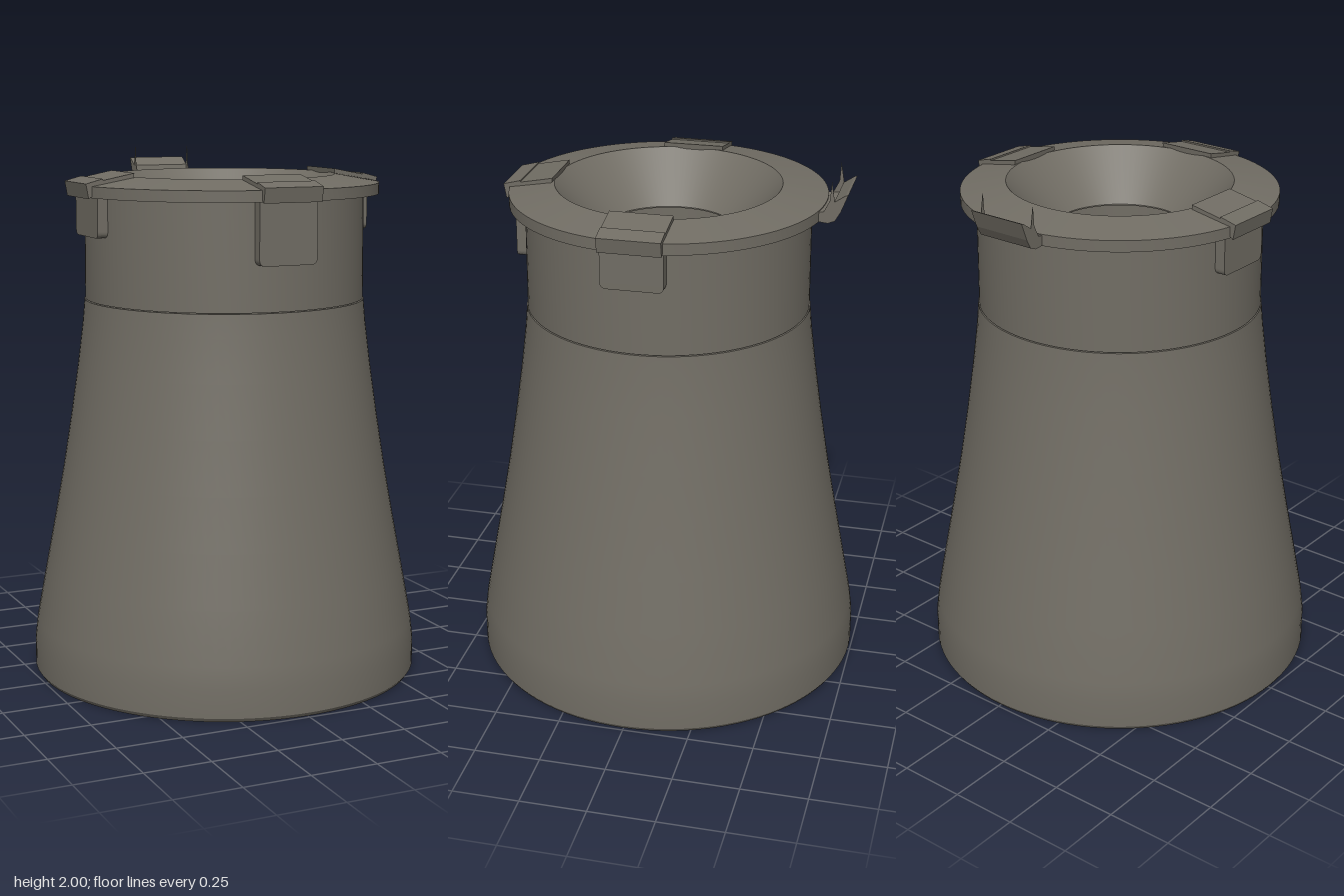
import * as THREE from 'three';
import { toCreasedNormals } from 'three/addons/utils/BufferGeometryUtils.js';

const HALF = 0.115; // half width of the clips

export function createModel() {
  const model = new THREE.Group();
  model.name = 'nozzle';
  const grey = new THREE.MeshStandardMaterial({ color: 0x716d64 });
  grey.name = 'warm grey';

  const add = (parent, name, geometry) => {
    const mesh = new THREE.Mesh(geometry, grey);
    mesh.name = name;
    parent.add(mesh);
    return mesh;
  };
  const toPoints = (list) => list.map(([a, b]) => new THREE.Vector2(a, b));
  const turned = (list) => toCreasedNormals(new THREE.LatheGeometry(toPoints(list), 96), 0.5);

  // Extrudes a (radius, height) section sideways, centred on x = 0
  const section = (list, width) => {
    const g = new THREE.ExtrudeGeometry(new THREE.Shape(toPoints(list)), { depth: width, bevelEnabled: false });
    return g.translate(0, 0, -width / 2).rotateY(-Math.PI / 2);
  };

  // Flared skirt: hollow shell, open at the bottom
  add(model, 'skirt', turned([
    [0.66, 0], [0.735, 0], [0.745, 0.015], [0.745, 0.12], [0.735, 0.2], [0.698, 0.4],
    [0.66, 0.6], [0.624, 0.8], [0.592, 1.0], [0.563, 1.2], [0.543, 1.36], [0.535, 1.449],
    [0.45, 1.449], [0.48, 1.2], [0.51, 1.0], [0.58, 0.6], [0.65, 0.2], [0.66, 0],
  ]));

  // Neck with gently coned flange and funnel, above a hairline gap
  add(model, 'neck', turned([
    [0.45, 1.452], [0.532, 1.452], [0.53, 1.848], [0.588, 1.848], [0.588, 1.89], [0.42, 1.92],
    [0.25, 1.735], [0.25, 1.73], [0.4, 1.87], [0.45, 1.87], [0.45, 1.452],
  ]));

  // Plate hanging below the flange, lower corners rounded
  const plate = (bottom) => {
    const r = 0.025, top = 1.86;
    const s = new THREE.Shape();
    s.moveTo(-HALF, top);
    s.lineTo(-HALF, bottom + r);
    s.quadraticCurveTo(-HALF, bottom, -HALF + r, bottom);
    s.lineTo(HALF - r, bottom);
    s.quadraticCurveTo(HALF, bottom, HALF, bottom + r);
    s.lineTo(HALF, top);
    s.closePath();
    return new THREE.ExtrudeGeometry(s, { depth: 0.055, bevelEnabled: false }).translate(0, 0, 0.502);
  };

  // Front and side clips: strap following the cone, outer lip and hanging plate
  const clips = [['frontClip', 0, 1.62], ['leftClip', Math.PI / 2, 1.7], ['rightClip', -Math.PI / 2, 1.7]];
  for (const [name, angle, bottom] of clips) {
    const clip = new THREE.Group();
    clip.name = name;
    clip.rotation.y = angle;
    add(clip, 'strap', section([[0.415, 1.905], [0.54, 1.88], [0.54, 1.91], [0.412, 1.935]], 2 * HALF));
    add(clip, 'lip', section([
      [0.535, 1.88], [0.575, 1.875], [0.575, 1.855], [0.59, 1.845], [0.6, 1.9], [0.535, 1.917],
    ], 2 * HALF));
    add(clip, 'plate', plate(bottom));
    model.add(clip);
  }

  // Back clip: lip bent up and outwards, with a pointed ear at each end
  const back = new THREE.Group();
  back.name = 'backClip';
  back.rotation.y = Math.PI;
  add(back, 'flap', section([
    [0.56, 1.85], [0.61, 1.845], [0.635, 1.855], [0.655, 1.89], [0.68, 1.955],
    [0.67, 1.952], [0.63, 1.925], [0.622, 1.888], [0.56, 1.885],
  ], 2 * HALF));
  for (const side of [-1, 1]) {
    const ear = add(back, 'ear', section([[0.59, 1.88], [0.63, 1.88], [0.632, 1.93], [0.62, 2.0], [0.615, 1.93]], 0.002));
    ear.position.x = side * (HALF - 0.001);
  }
  model.add(back);

  return model;
}
